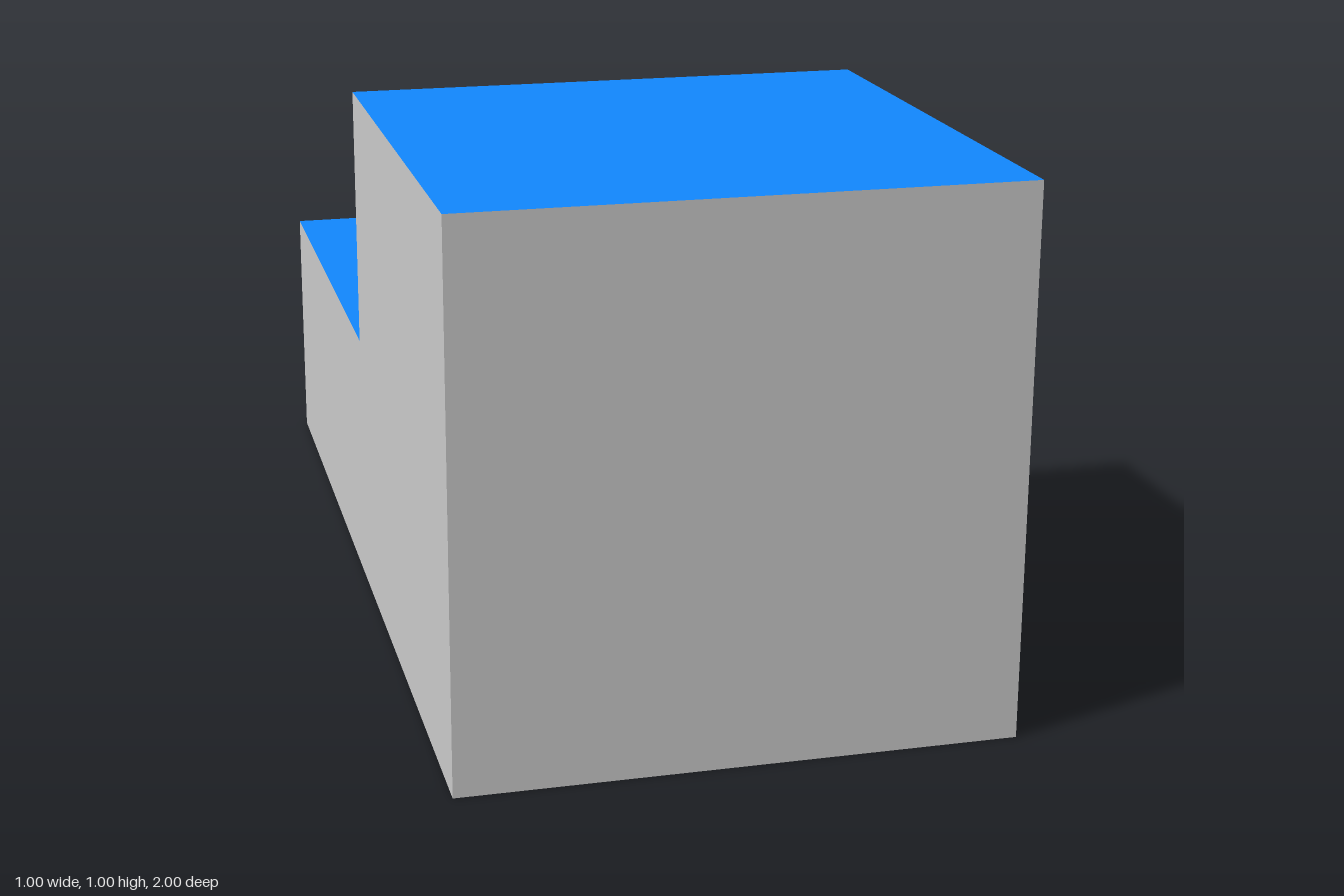
import * as THREE from 'three';

const GREY = 0xcccccc, GREEN = 0x0fff0f, BLUE = 0x1187fd;
const YELLOW = 0xf4f732, DARK_YELLOW = 0xd1d718;
const WIDTH = 1;

// Step outline as (z, y) corners, anticlockwise seen from -x
const PROFILE = [[-1, 0], [1, 0], [1, 1], [0, 1], [0, 0.5], [-1, 0.5]];

// One panel per profile edge, in the same order
const EDGES = [
  ['base', GREY],
  ['frontWall', GREY],
  ['upperTread', BLUE],
  ['upperRiser', DARK_YELLOW],
  ['lowerTread', BLUE],
  ['backWall', YELLOW],
];

function addMesh(group, name, geometry, color) {
  const mesh = new THREE.Mesh(geometry, new THREE.MeshStandardMaterial({ color }));
  mesh.name = name;
  group.add(mesh);
  return mesh;
}

export function createModel() {
  const group = new THREE.Group();
  group.name = 'steppedBlock';

  // Flat panels swept across the width, each facing outward
  EDGES.forEach(([name, color], i) => {
    const [z0, y0] = PROFILE[i];
    const [z1, y1] = PROFILE[(i + 1) % PROFILE.length];
    const dz = z1 - z0, dy = y1 - y0;
    const panel = addMesh(group, name, new THREE.PlaneGeometry(WIDTH, Math.hypot(dz, dy)), color);
    panel.position.set(0, (y0 + y1) / 2, (z0 + z1) / 2);
    // outward normal is (y, z) = (-dz, dy)
    panel.rotation.x = Math.atan2(dz, dy);
  });

  // L-shaped side walls; the shape's x axis is turned onto z
  const mirrored = new THREE.Shape(PROFILE.map(([z, y]) => new THREE.Vector2(-z, y)));
  const leftWall = addMesh(group, 'leftWall', new THREE.ShapeGeometry(mirrored), GREEN);
  leftWall.rotation.y = Math.PI / 2;
  leftWall.position.x = WIDTH / 2;

  const outline = new THREE.Shape(PROFILE.map(([z, y]) => new THREE.Vector2(z, y)));
  const rightWall = addMesh(group, 'rightWall', new THREE.ShapeGeometry(outline), GREY);
  rightWall.rotation.y = -Math.PI / 2;
  rightWall.position.x = -WIDTH / 2;

  return group;
}
